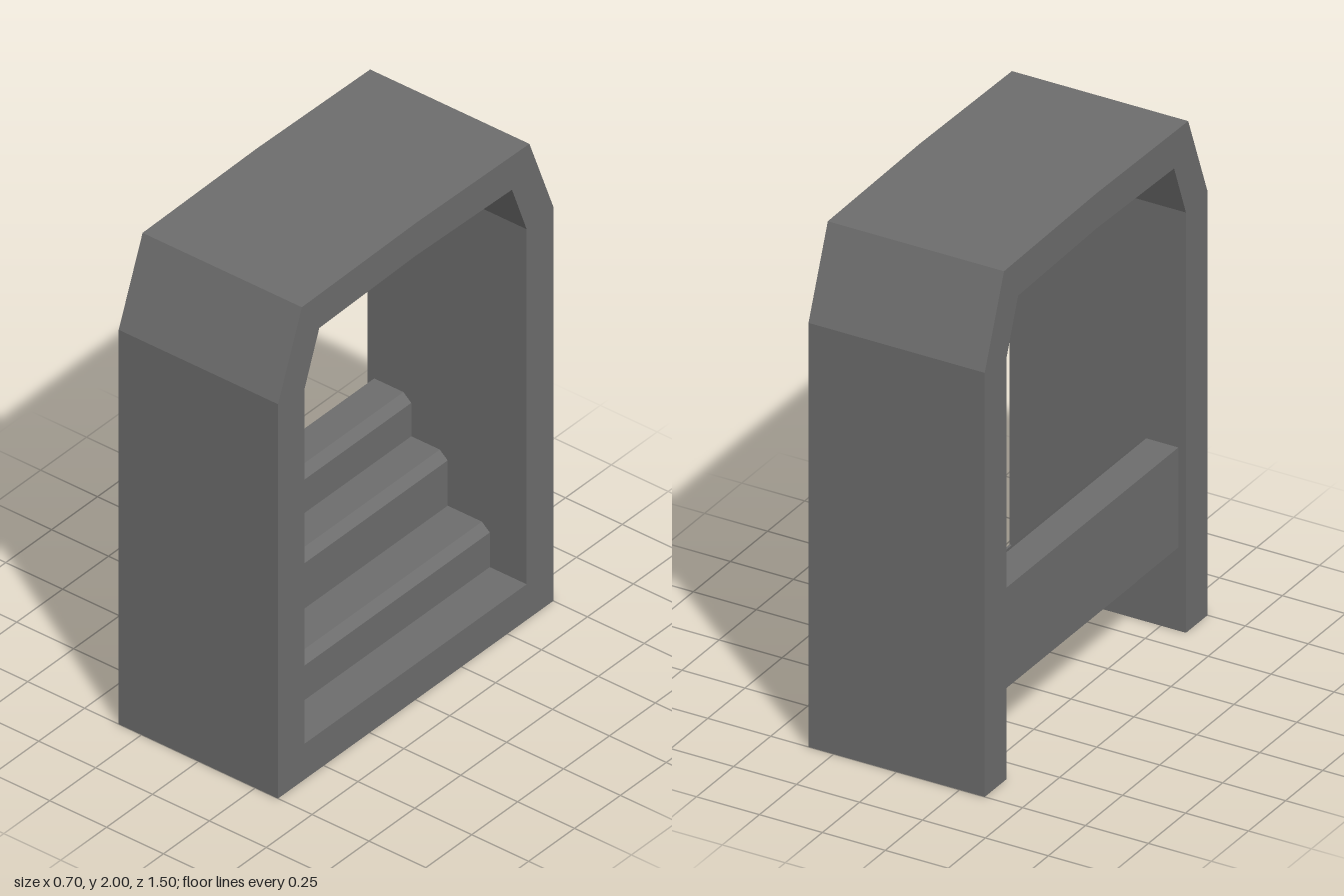
import * as THREE from 'three';

const WIDTH = 0.7;    // along x
const INNER = 0.605;  // half the clear opening along z

function extrude(points, depth) {
  const shape = new THREE.Shape(points.map(([a, b]) => new THREE.Vector2(a, b)));
  return new THREE.ExtrudeGeometry(shape, { depth, bevelEnabled: false }).translate(0, 0, -depth / 2);
}

export function createModel() {
  const group = new THREE.Group();
  const material = new THREE.MeshStandardMaterial({ color: 0x6d6d6d, flatShading: true });
  const add = (name, geometry) => {
    const mesh = new THREE.Mesh(geometry, material);
    mesh.name = name;
    group.add(mesh);
  };

  // Arch: half profile (z, y), mirrored, then extruded across the width
  const outer = [[0.75, 0], [0.75, 1.655], [0.62, 1.99]];
  const inner = [[0.525, 1.85], [INNER, 1.64], [INNER, 0]];
  const mirror = (pts) => pts.map(([z, y]) => [-z, y]).reverse();
  const arch = [...outer, [0, 2], ...mirror(outer), ...mirror(inner), [0, 1.863], ...inner];
  add('archFrame', extrude(arch, WIDTH).rotateY(Math.PI / 2));

  // Stairs: profile (x, y) with chamfered nosings and a stepped underside
  const profile = [[0, 0], [0.35, 0], [0.35, 0.15]];
  let tread = 0.15;
  for (const [x, top] of [[0.188, 0.325], [0.003, 0.545], [-0.157, 0.715]]) {
    profile.push([x, tread], [x, top - 0.03], [x - 0.035, top]);
    tread = top;
  }
  profile.push([-0.32, 0.715], [-0.32, 0.325], [-0.155, 0.325], [-0.155, 0.145], [0, 0.145]);
  add('stairs', extrude(profile, INNER * 2));

  return group;
}
